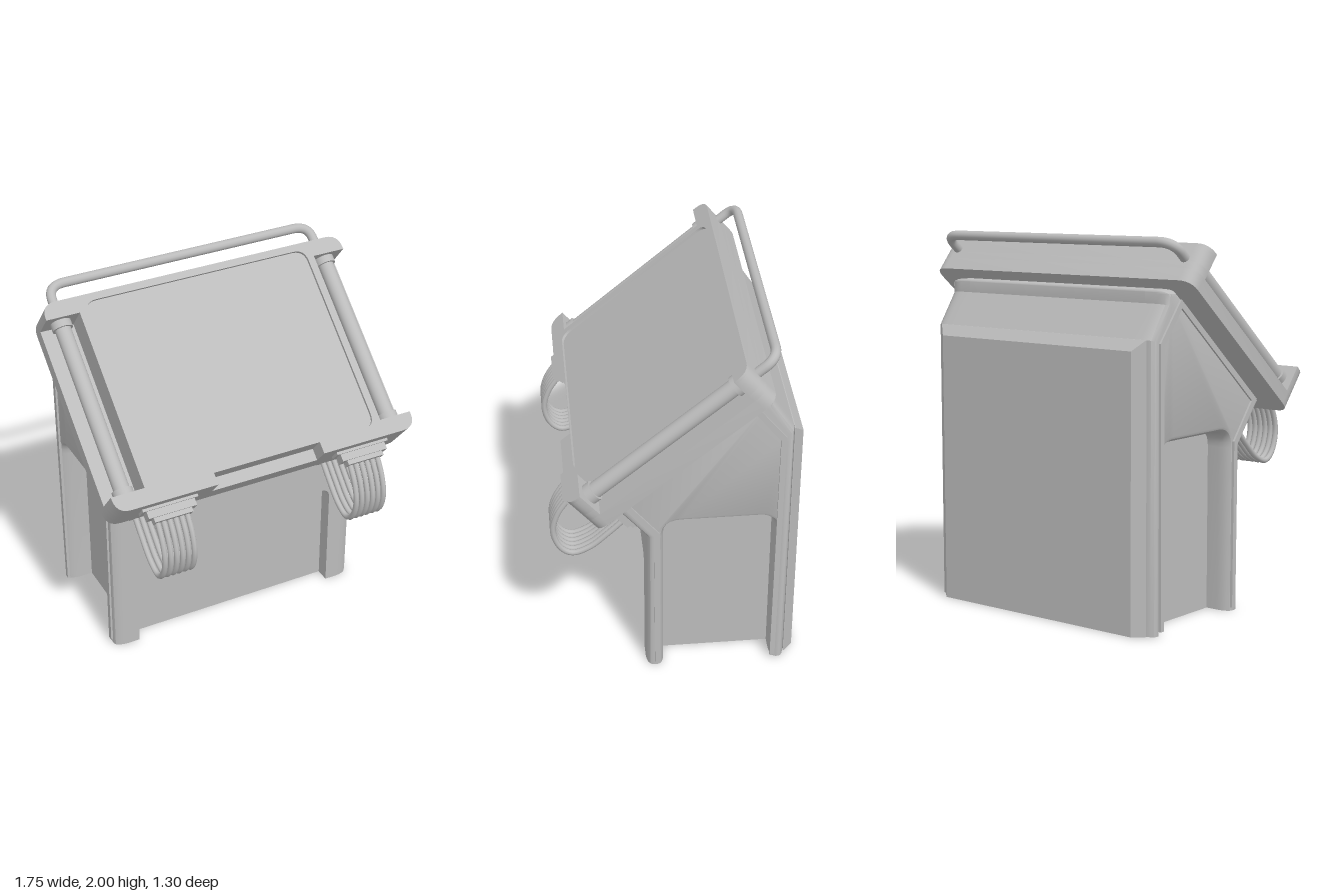
import * as THREE from 'three';
import { toCreasedNormals } from 'three/addons/utils/BufferGeometryUtils.js';

const grey = new THREE.MeshStandardMaterial({ color: 0xbbbbbb, side: THREE.DoubleSide });
grey.name = 'grey plastic';

function add(parent, name, geo, x = 0, y = 0, z = 0) {
  const m = new THREE.Mesh(geo, grey);
  m.name = name;
  m.position.set(x, y, z);
  parent.add(m);
  return m;
}

// Closed outline from [x, y, cornerRadius] points
function outline(pts, Type = THREE.Shape) {
  const s = new Type();
  pts.forEach(([x, y, r = 0], i) => {
    const p = new THREE.Vector2(x, y);
    const toward = (q) => p.clone().add(new THREE.Vector2(q[0] - x, q[1] - y).setLength(r));
    const a = r ? toward(pts[(i + pts.length - 1) % pts.length]) : p;
    if (i === 0) s.moveTo(a.x, a.y); else s.lineTo(a.x, a.y);
    if (r) {
      const b = toward(pts[(i + 1) % pts.length]);
      s.quadraticCurveTo(x, y, b.x, b.y);
    }
  });
  s.closePath();
  return s;
}

// Extrusion whose back end stays flat and whose front end may be rounded
function extrude(shape, depth, bevel = 0, thick = bevel, segments = 4) {
  const g = new THREE.ExtrudeGeometry(shape, {
    depth: depth - thick, curveSegments: 6, bevelEnabled: bevel > 0,
    bevelSize: bevel, bevelOffset: -bevel, bevelThickness: thick, bevelSegments: segments,
  });
  const p = g.attributes.position;
  for (let i = 0; i < p.count; i++) p.setZ(i, Math.max(0, p.getZ(i)));
  return g;
}

// Flatten below the ground and leave the underside open
function openBottom(g) {
  const src = (g.index ? g.toNonIndexed() : g).attributes.position;
  const out = [];
  for (let i = 0; i < src.count; i += 3) {
    const tri = [];
    for (let k = i; k < i + 3; k++) tri.push(src.getX(k), Math.max(0, src.getY(k)), src.getZ(k));
    if (Math.max(tri[1], tri[4], tri[7]) > 1e-4) out.push(...tri);
  }
  const r = new THREE.BufferGeometry();
  r.setAttribute('position', new THREE.Float32BufferAttribute(out, 3));
  r.computeVertexNormals();
  return r;
}

const smooth = (g) => toCreasedNormals(g, 0.55);
// [z, y] profile pushed outward along x on side s
const sideways = (pts, s, ...args) =>
  extrude(outline(pts.map(([z, y, r]) => [-s * z, y, r])), ...args).rotateY(s * Math.PI / 2);

function rect(x0, x1, y0, y1, r, Type) {
  return outline([[x0, y0, r], [x1, y0, r], [x1, y1, r], [x0, y1, r]], Type);
}

function buildBody(root) {
  const body = new THREE.Group();
  body.name = 'body';
  root.add(body);
  const low = -0.04;
  const upper = [[0.165, 0.88], [0.355, 1.11], [-0.395, 1.74], [-0.477, 1.74, 0.02], [-0.477, 1.67], [-0.59, 1.5]];

  // Middle of the shell with the recessed front panel
  const core = sideways([[0.085, low], [0.085, 0.65], [0.165, 0.65], ...upper, [-0.59, low]], 1, 1.2);
  add(body, 'core', smooth(openBottom(core)), -0.6);

  for (const s of [1, -1]) {
    // Side walls with arched openings
    const wall = sideways([[0.165, low], ...upper, [-0.59, low], [-0.51, low],
      [-0.51, 0.97, 0.09], [0.07, 0.97, 0.09], [0.07, low]], s, 0.142, 0.034, 0.075);
    add(body, 'sideWall', smooth(openBottom(wall)), s * 0.6);

    // Raised trim around each side
    const trim = sideways([[0.12, 0.02], [0.125, 0.9], [0.3, 1.12], [-0.375, 1.69], [-0.545, 1.48], [-0.535, 0.02],
      [-0.508, 0.02], [-0.515, 1.465], [-0.37, 1.645], [0.255, 1.115], [0.095, 0.915], [0.09, 0.02]], s, 0.015);
    add(body, 'sideTrim', smooth(trim), s * 0.738);

    // Rounded top corners of the front recess
    const corner = new THREE.Shape();
    corner.moveTo(s * 0.6, 0.65);
    corner.lineTo(s * 0.6, 0.59);
    corner.quadraticCurveTo(s * 0.6, 0.65, s * 0.54, 0.65);
    add(body, 'recessCorner', smooth(extrude(corner, 0.08)), 0, 0, 0.085);
  }

  // Back cover
  const cover = extrude(rect(-0.7, 0.7, low - 0.05, 1.5, 0), 0.055, 0.055, 0.05, 1).rotateY(Math.PI);
  add(body, 'backCover', smooth(openBottom(cover)), 0, 0, -0.59);

  // Socket strip on the overhanging front slope
  const strip = new THREE.Group();
  strip.name = 'socketStrip';
  strip.position.set(0, 0.99, 0.258);
  strip.rotation.x = 0.7;
  body.add(strip);
  add(strip, 'stripPlate', new THREE.BoxGeometry(1.38, 0.17, 0.02));
  for (const t of [-0.07, 0.07]) add(strip, 'stripRib', new THREE.BoxGeometry(1.34, 0.02, 0.02), 0, t, 0.014);
  for (const s of [1, -1]) {
    add(strip, 'stripEnd', new THREE.BoxGeometry(0.03, 0.15, 0.03), s * 0.675, 0, 0.01);
    add(strip, 'lowerPlug', new THREE.BoxGeometry(0.22, 0.09, 0.06), s * 0.565, -0.02, 0.02);
  }
}

// I-shaped frame outline, optionally notched at the bottom
function frameOutline(notch) {
  const W = 0.875, H = 0.58, w = 0.69, h = 0.49, r = 0.08;
  const cut = notch ? [[-0.31, -H], [-0.31, -0.515], [0.31, -0.515], [0.31, -H]] : [];
  return outline([[-W, -H, r], ...cut, [W, -H, r], [W, -h], [w, -h], [w, h], [W, h],
    [W, H, r], [-W, H, r], [-W, h], [-w, h], [-w, -h], [-W, -h]]);
}

function buildDisplay(root) {
  const d = new THREE.Group();
  d.name = 'display';
  d.position.set(0, 1.5965, 0.1275);
  d.rotation.x = -0.876;
  root.add(d);

  add(d, 'backPlate', smooth(extrude(rect(-0.875, 0.875, -0.58, 0.58, 0.08), 0.075)), 0, 0, -0.23);
  add(d, 'frameBase', smooth(extrude(frameOutline(false), 0.045)), 0, 0, -0.155);
  add(d, 'frameMiddle', smooth(extrude(frameOutline(true), 0.095)), 0, 0, -0.11);
  const rim = frameOutline(true);
  rim.holes.push(rect(-0.65, 0.65, -0.512, 0.54, 0.07, THREE.Path));
  add(d, 'screenRim', smooth(extrude(rim, 0.015)), 0, 0, -0.015);

  for (const s of [1, -1]) {
    // Side rails with collars
    add(d, 'sideRail', new THREE.CylinderGeometry(0.043, 0.043, 0.98, 24), s * 0.78, 0, -0.08);
    for (const e of [1, -1])
      add(d, 'railCollar', new THREE.CylinderGeometry(0.055, 0.055, 0.04, 24), s * 0.78, e * 0.47, -0.08);
    // Upper cable plugs
    add(d, 'plugBase', new THREE.BoxGeometry(0.31, 0.02, 0.075), s * 0.565, -0.585, -0.1);
    add(d, 'upperPlug', new THREE.BoxGeometry(0.27, 0.05, 0.06), s * 0.565, -0.61, -0.1);
    add(d, 'plugTip', new THREE.BoxGeometry(0.215, 0.03, 0.045), s * 0.565, -0.645, -0.1);
  }

  // Carry handle along the top edge
  const v = (x, y) => new THREE.Vector3(x, y, -0.095);
  const path = new THREE.CurvePath();
  path.add(new THREE.LineCurve3(v(-0.775, 0.54), v(-0.775, 0.625)));
  path.add(new THREE.QuadraticBezierCurve3(v(-0.775, 0.625), v(-0.775, 0.705), v(-0.68, 0.705)));
  path.add(new THREE.LineCurve3(v(-0.68, 0.705), v(0.68, 0.705)));
  path.add(new THREE.QuadraticBezierCurve3(v(0.68, 0.705), v(0.775, 0.705), v(0.775, 0.625)));
  path.add(new THREE.LineCurve3(v(0.775, 0.625), v(0.775, 0.54)));
  add(d, 'carryHandle', new THREE.TubeGeometry(path, 120, 0.026, 12));
}

// Two ribbons of looping cables
function buildCables(root) {
  const loop = [[0.53, 1.13], [0.615, 1.0], [0.64, 0.89], [0.605, 0.785], [0.545, 0.745],
    [0.455, 0.775], [0.35, 0.865], [0.25, 0.965]];
  const curve = new THREE.CatmullRomCurve3(loop.map(([z, y]) => new THREE.Vector3(0, y, z)));
  const geo = new THREE.TubeGeometry(curve, 40, 0.0155, 8);
  for (const s of [1, -1])
    for (let i = 0; i < 6; i++) add(root, 'cable', geo, s * 0.565 + (i - 2.5) * 0.0335);
}

export function createModel() {
  const root = new THREE.Group();
  root.name = 'controlConsole';
  buildBody(root);
  buildDisplay(root);
  buildCables(root);
  return root;
}
